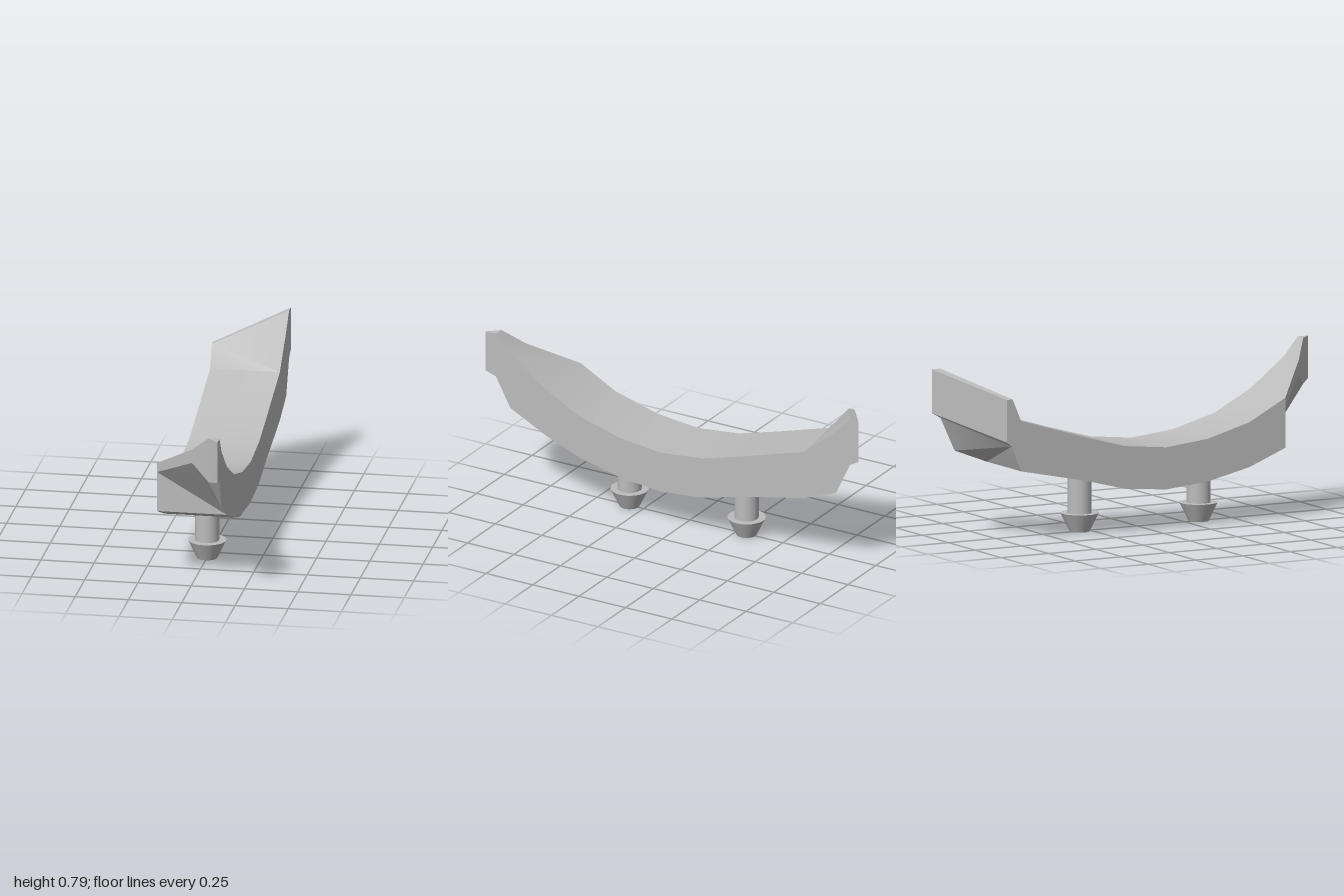
import * as THREE from 'three';
import { toCreasedNormals } from 'three/addons/utils/BufferGeometryUtils.js';

const L = -0.17, R = 0.157;

// Curved band: [z, top y, bottom y], front to back
const STATIONS = [
  [0.69, 0.57, 0.335], [0.5, 0.47, 0.26], [0.28, 0.41, 0.21], [0.06, 0.387, 0.19],
  [-0.16, 0.41, 0.21], [-0.36, 0.465, 0.262], [-0.71, 0.57, 0.335],
];

// Corner points of the mitred front tip
const FRONT = {
  B: [L, 0.525, 0.69], F: [0.025, 0.64, 0.87], G: [0.025, 0.705, 0.87],
  H: [0.117, 0.575, 0.945], I: [0.117, 0.79, 0.945],
  J: [0.168, 0.592, 1], K: [0.168, 0.79, 1],
  M: [0.163, 0.43, 0.87], N: [0.163, 0.705, 0.87],
  O: [0.168, 0.575, 0.945], P: [0.168, 0.79, 0.945],
};

// Corner points of the raised plate at the back
const BACK = {
  a: [L, 0.675, -0.755], b: [L, 0.675, -0.785], c: [L, 0.475, -0.785], d: [L, 0.455, -0.76],
  n: [R, 0.705, -0.87], p: [R, 0.79, -0.955], k: [R, 0.79, -1],
  j: [R, 0.585, -1], o: [R, 0.56, -0.955], m: [R, 0.4, -0.88],
};

// The four corners of the band at one station
function corners([z, top, bottom]) {
  return { A: [L, top, z], C: [L, bottom, z], D: [R, bottom, z], E: [R, top, z] };
}

function bandGeometry() {
  const pos = [];
  const face = (...p) => {
    for (let i = 1; i < p.length - 1; i++) pos.push(...p[0], ...p[i], ...p[i + 1]);
  };
  // each letter of a word is one corner of a face
  const faces = (points, words) => words.split(' ').forEach((w) => face(...[...w].map((l) => points[l])));

  // swept middle
  for (let i = 0; i < STATIONS.length - 1; i++) {
    const f = corners(STATIONS[i]), b = corners(STATIONS[i + 1]);
    face(f.A, f.E, b.E, b.A);
    face(f.C, b.C, b.D, f.D);
    face(f.D, b.D, b.E, f.E);
    face(f.C, f.A, b.A, b.C);
  }

  // front tip: top, slanted cut, hollow underside, outer side
  faces({ ...corners(STATIONS[0]), ...FRONT },
    'AGNE GIPN IKP ABFG GFHI IHJK BCD BDF FDM FMH HMO HOJ MDEN OMNP JOPK');

  // back end: top slope and rim, plate, underside, two sides
  faces({ ...corners(STATIONS[STATIONS.length - 1]), ...BACK },
    'AEa Ena npa apkb kjcb jodc omd mDd DCd DmnE mopn ojkp CAad dabc');

  const g = new THREE.BufferGeometry();
  g.setAttribute('position', new THREE.Float32BufferAttribute(pos, 3));
  return toCreasedNormals(g, 0.5);
}

// Push-in fastener: a shaft with a tapered barb
function pin(material) {
  const group = new THREE.Group();
  const shaft = new THREE.Mesh(new THREE.CylinderGeometry(0.056, 0.056, 0.2, 32), material);
  shaft.name = 'pinShaft';
  shaft.position.y = 0.18;
  const barb = new THREE.Mesh(new THREE.CylinderGeometry(0.089, 0.047, 0.087, 32), material);
  barb.name = 'pinBarb';
  barb.position.y = 0.0435;
  group.add(shaft, barb);
  return group;
}

export function createModel() {
  const model = new THREE.Group();
  model.name = 'curvedTrimClip';
  const grey = new THREE.MeshStandardMaterial({ color: 0xbcbcbc });
  grey.name = 'grey plastic';

  const band = new THREE.Mesh(bandGeometry(), grey);
  band.name = 'curvedBand';
  model.add(band);

  for (const [name, z] of [['frontPin', 0.325], ['backPin', -0.305]]) {
    const p = pin(grey);
    p.name = name;
    p.position.z = z;
    model.add(p);
  }
  return model;
}
